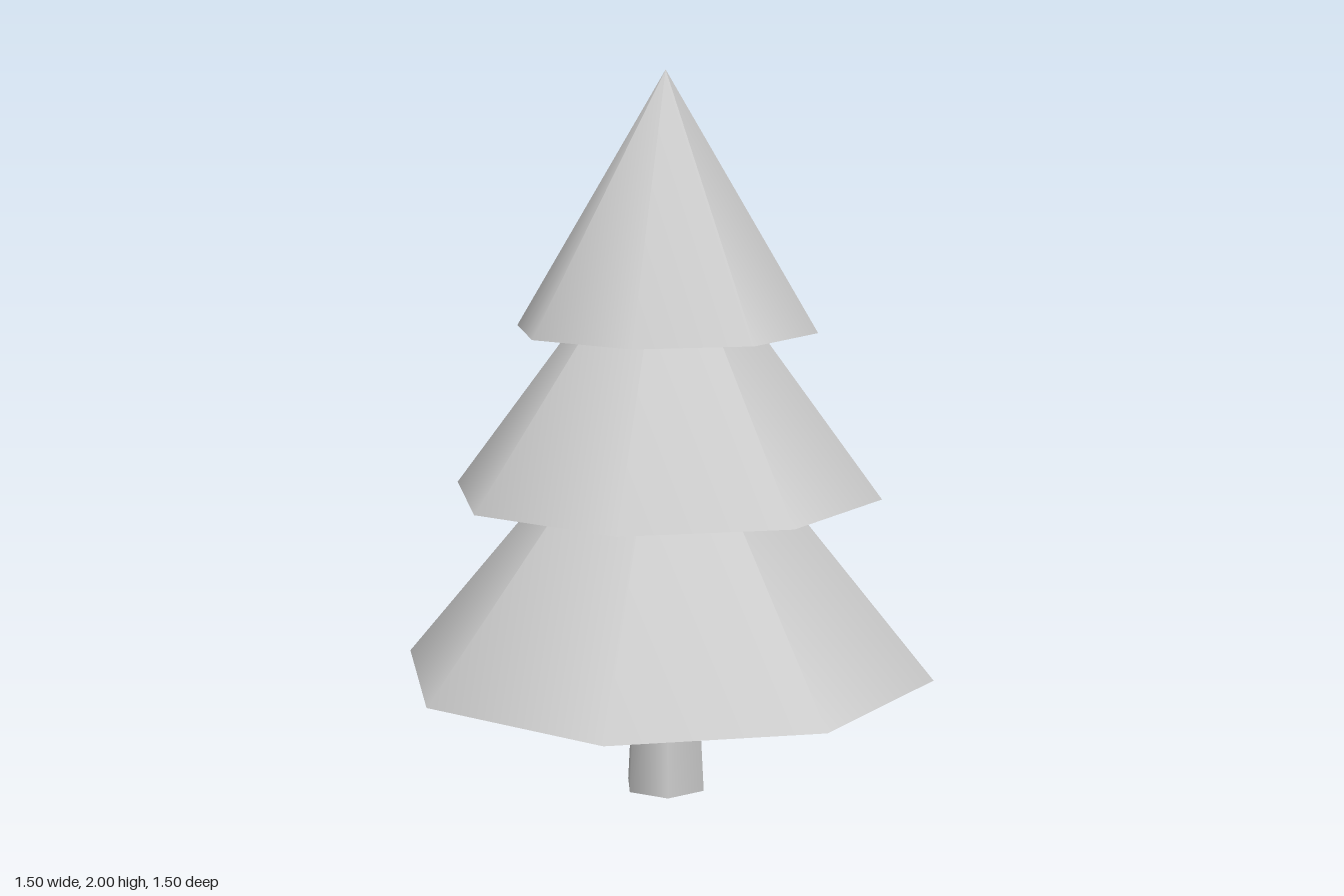
import * as THREE from 'three';

export function createModel() {
  const tree = new THREE.Group();
  tree.name = 'pineTree';
  const grey = new THREE.MeshStandardMaterial({ color: 0xcccccc });
  grey.name = 'paleGrey';

  // Adds a tapered, smooth-shaded round part standing on height y
  const add = (name, geometry, y, height) => {
    const mesh = new THREE.Mesh(geometry, grey);
    mesh.name = name;
    mesh.position.y = y + height / 2;
    tree.add(mesh);
    return mesh;
  };

  // Six-sided trunk with corners on the x axis
  const trunk = add('trunk', new THREE.CylinderGeometry(0.1, 0.12, 0.35, 6), 0, 0.35);
  trunk.rotation.y = Math.PI / 2;

  // Three overlapping eight-sided tiers of foliage
  const tiers = [
    ['lowerFoliage', 0.75, 0.35, 0.9],
    ['middleFoliage', 0.6, 0.85, 0.8],
    ['upperFoliage', 0.42, 1.3, 0.7],
  ];
  for (const [name, radius, y, height] of tiers) {
    add(name, new THREE.ConeGeometry(radius, height, 8), y, height);
  }
  return tree;
}
